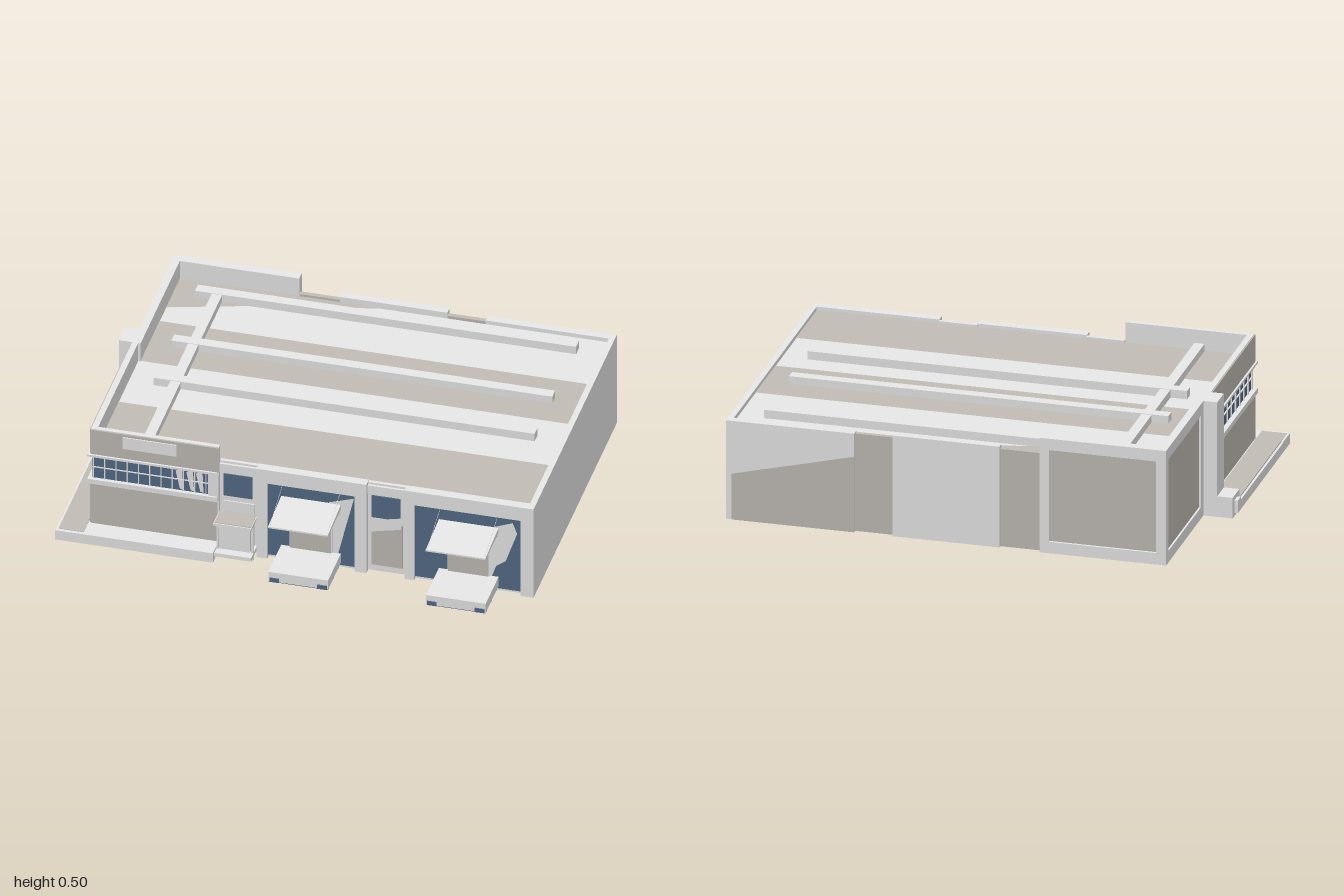
import * as THREE from 'three';

const mat = (name, color) => {
  const m = new THREE.MeshStandardMaterial({ color, side: THREE.DoubleSide });
  m.name = name;
  return m;
};

export function createModel() {
  const light = mat('lightConcrete', 0xe8e8e8);
  const beige = mat('beigePanel', 0xc0bbb5);
  const blue = mat('blueGlazing', 0x536a87);
  const root = new THREE.Group();
  root.name = 'warehouse';

  // Box from its extents
  const box = (name, m, x0, x1, y0, y1, z0, z1, parent = root) => {
    const mesh = new THREE.Mesh(new THREE.BoxGeometry(x1 - x0, y1 - y0, z1 - z0), m);
    mesh.position.set((x0 + x1) / 2, (y0 + y1) / 2, (z0 + z1) / 2);
    mesh.name = name;
    parent.add(mesh);
    return mesh;
  };
  // Flat polygon facing +z
  const plate = (name, m, pts, z, parent = root) => {
    const shape = new THREE.Shape(pts.map(p => new THREE.Vector2(p[0], p[1])));
    const mesh = new THREE.Mesh(new THREE.ShapeGeometry(shape), m);
    mesh.position.z = z;
    mesh.name = name;
    parent.add(mesh);
    return mesh;
  };
  // Thin rod between two points
  const rod = (name, a, b, r, parent) => {
    const p = new THREE.Vector3(...a), q = new THREE.Vector3(...b);
    const mesh = new THREE.Mesh(new THREE.CylinderGeometry(r, r, p.distanceTo(q), 6), light);
    mesh.position.copy(p).add(q).multiplyScalar(0.5);
    mesh.quaternion.setFromUnitVectors(new THREE.Vector3(0, 1, 0), q.sub(p).normalize());
    mesh.name = name;
    parent.add(mesh);
  };

  // Roof slab with beige bands
  box('roof', light, -0.84, 0.97, 0.40, 0.412, -0.73, 0.53);
  const roofBands = [
    [[-0.84, -0.4], [0.965, -0.4], [0.965, -0.1], [-0.84, -0.1]],
    [[-0.84, 0.21], [0.965, 0.21], [0.965, 0.525], [-0.84, 0.525]],
    [[-0.84, -0.725], [0.05, -0.725], [-0.5, -0.6], [-0.84, -0.5]],
  ];
  for (const band of roofBands) {
    const b = plate('roofBand', beige, band.map(([x, z]) => [x, -z]), 0);
    b.rotation.x = -Math.PI / 2;
    b.position.y = 0.415;
  }
  // Roof ducts
  for (const z of [-0.625, -0.25, 0.03]) box('roofDuct', light, -0.735, 0.86, 0.412, 0.448, z - 0.023, z + 0.023);
  box('crossDuct', light, -0.665, -0.622, 0.412, 0.446, -0.625, 0.52);

  // Right wall
  box('rightWall', light, 0.965, 0.99, 0, 0.43, -0.755, 0.56);

  // Back wall: flush bays, recesses and the framed tall bay
  box('backBay', light, 0.45, 0.965, 0, 0.43, -0.755, -0.72);
  plate('backBayPanel', beige, [[0.45, 0], [0.965, 0], [0.965, 0.2], [0.45, 0.33]], -0.757);
  box('backBay', light, -0.16, 0.29, 0, 0.44, -0.755, -0.72);
  for (const [a, b] of [[0.29, 0.45], [-0.33, -0.16]]) box('backRecess', beige, a, b, 0, 0.425, -0.74, -0.72);
  box('backTallWall', light, -0.86, -0.33, 0, 0.5, -0.745, -0.72);
  box('backInset', beige, -0.82, -0.37, 0.05, 0.45, -0.75, -0.744);
  box('backFrameTop', light, -0.86, -0.33, 0.45, 0.5, -0.76, -0.744);
  box('backFrameBottom', light, -0.86, -0.33, 0, 0.05, -0.76, -0.744);
  for (const x of [-0.86, -0.37]) box('backFramePost', light, x, x + 0.04, 0, 0.5, -0.76, -0.744);

  // Left wall rear bay with framed panel
  box('leftRearWall', light, -0.85, -0.83, 0, 0.5, -0.745, -0.1);
  box('leftInset', beige, -0.854, -0.849, 0.05, 0.45, -0.71, -0.23);
  box('leftFrameTop', light, -0.862, -0.849, 0.45, 0.5, -0.76, -0.2);
  box('leftFrameBottom', light, -0.862, -0.849, 0, 0.05, -0.76, -0.2);
  for (const z of [-0.76, -0.24]) box('leftFramePost', light, -0.862, -0.849, 0, 0.5, z, z + 0.04);
  box('sideFin', light, -0.92, -0.85, 0, 0.5, -0.2, -0.1);
  box('sideBlock', light, -0.985, -0.92, 0, 0.09, -0.2, -0.1);
  box('sidePost', light, -1.0, -0.93, 0.015, 0.07, -0.175, -0.13);

  // Office corner: lower wall, ribbon windows, upper wall
  box('officeLowerFront', light, -0.865, -0.33, 0, 0.24, 0.53, 0.55);
  box('officeLowerLeft', light, -0.865, -0.84, 0, 0.24, -0.1, 0.55);
  box('officeFrontPanel', beige, -0.865, -0.335, 0.045, 0.235, 0.549, 0.555);
  box('officeLeftPanel', beige, -0.87, -0.864, 0.045, 0.235, -0.1, 0.55);
  box('officeUpperFront', light, -0.865, -0.33, 0.37, 0.5, 0.53, 0.55);
  box('officeUpperLeft', light, -0.865, -0.84, 0.37, 0.5, -0.1, 0.55);
  box('upperFrontPanel', beige, -0.865, -0.332, 0.38, 0.497, 0.549, 0.555);
  box('upperLeftPanel', beige, -0.87, -0.864, 0.38, 0.497, -0.1, 0.55);
  box('blankSign', light, -0.73, -0.505, 0.43, 0.485, 0.554, 0.56);
  box('windowEndPost', light, -0.375, -0.33, 0.24, 0.37, 0.53, 0.556);
  box('frontGlass', blue, -0.86, -0.375, 0.24, 0.375, 0.54, 0.546);
  box('leftGlass', blue, -0.856, -0.85, 0.24, 0.375, -0.1, 0.54);
  box('frontWindowBacking', light, -0.85, -0.375, 0.24, 0.375, 0.534, 0.54);
  box('leftWindowBacking', light, -0.85, -0.844, 0.24, 0.375, -0.1, 0.54);
  for (const [y, h] of [[0.24, 0.022], [0.37, 0.01]]) {
    box('frontSill', light, -0.878, -0.335, y, y + h, 0.543, 0.563);
    box('leftSill', light, -0.878, -0.855, y, y + h, -0.1, 0.563);
  }
  for (let i = 0; i <= 10; i++) {
    const x = -0.855 + i * 0.047;
    box('frontMullion', light, x - 0.002, x + 0.002, 0.25, 0.372, 0.545, 0.55);
    const z = -0.08 + i * 0.062;
    box('leftMullion', light, -0.862, -0.856, 0.25, 0.372, z - 0.002, z + 0.002);
  }
  box('frontTransom', light, -0.86, -0.375, 0.313, 0.317, 0.545, 0.55);
  box('leftTransom', light, -0.862, -0.856, 0.313, 0.317, -0.1, 0.545);
  for (const x of [-0.5, -0.455, -0.415]) {
    plate('windowBlind', light, [[x - 0.012, 0.355], [x + 0.006, 0.27], [x + 0.02, 0.265], [x + 0.016, 0.365]], 0.5475);
  }

  // Plinth around the office
  box('frontPlinth', light, -0.99, -0.33, 0, 0.045, 0.545, 0.645);
  box('leftPlinth', light, -0.99, -0.865, 0, 0.042, -0.1, 0.56);
  box('plinthTop', beige, -0.98, -0.875, 0.041, 0.047, -0.1, 0.63);

  // Recessed front bays
  const recess = (x0, x1, lower) => {
    const g = new THREE.Group();
    g.name = 'recessedBay';
    root.add(g);
    box('recessWall', light, x0, x1, 0, 0.425, 0.515, 0.53, g);
    box('recessWindow', blue, x0 + 0.015, x1 - 0.025, 0.26, 0.365, 0.529, 0.535, g);
    box('recessLower', lower, x0 + 0.015, x1 - 0.015, 0.03, 0.235, 0.529, 0.535, g);
    box('recessHeader', light, x0, x1, 0.375, 0.415, 0.529, 0.54, g);
  };
  recess(-0.33, -0.17, light);
  recess(0.29, 0.45, beige);
  plate('recessPatch', light, [[0.3, 0.19], [0.43, 0.22], [0.43, 0.275], [0.3, 0.245]], 0.537);

  // Entrance: low landing, porch body and its overhanging top
  box('landing', light, -0.33, -0.175, 0.018, 0.035, 0.53, 0.625);
  box('porchBody', light, -0.32, -0.19, 0.035, 0.175, 0.53, 0.588);
  for (const x of [-0.325, -0.18]) box('porchPost', light, x - 0.005, x + 0.005, 0, 0.18, 0.58, 0.59);
  box('porchTop', light, -0.332, -0.173, 0.172, 0.183, 0.53, 0.632);
  box('porchTopPanel', beige, -0.328, -0.177, 0.181, 0.186, 0.535, 0.627);

  // Loading bays: pier frame, blue surround, door, canopy and platform
  const dock = (x0, x1, p0, p1, cx, patch) => {
    const g = new THREE.Group();
    g.name = 'loadingBay';
    root.add(g);
    box('pier', light, x0, p0, 0, 0.43, 0.52, 0.56, g);
    box('pier', light, p1, x1, 0, 0.43, 0.52, 0.56, g);
    box('lintel', light, p0, p1, 0.365, 0.43, 0.52, 0.56, g);
    box('bayWall', light, p0, p1, 0, 0.365, 0.52, 0.54, g);
    box('baySurround', blue, p0, p1, 0.012, 0.365, 0.539, 0.546, g);
    plate('bayPatch', light, patch, 0.5475, g);
    box('doorFrame', light, cx - 0.088, cx + 0.09, 0.05, 0.265, 0.544, 0.552, g);
    box('dockDoor', beige, cx - 0.085, cx + 0.085, 0.06, 0.222, 0.55, 0.556, g);
    // Canopy tapers to a thin outer edge
    const canopy = box('canopy', light, cx - 0.125, cx + 0.125, 0.284, 0.306, 0.545, 0.755, g);
    const pos = canopy.geometry.attributes.position;
    for (let i = 0; i < pos.count; i++) if (pos.getZ(i) > 0 && pos.getY(i) > 0) pos.setY(i, -0.004);
    canopy.geometry.computeVertexNormals();
    box('canopyBracket', light, cx - 0.12, cx + 0.12, 0.262, 0.278, 0.545, 0.56, g);
    for (const s of [-1, 1]) {
      rod('canopyCable', [cx + s * 0.12, 0.29, 0.75], [cx + s * 0.12, 0.355, 0.55], 0.0008, g);
      box('bumper', blue, cx + s * 0.1 - 0.02, cx + s * 0.1 + 0.02, 0.023, 0.042, 0.749, 0.754, g);
    }
    box('platform', light, cx - 0.125, cx + 0.125, 0.024, 0.068, 0.54, 0.75, g);
    box('platformUnderside', blue, cx - 0.124, cx + 0.124, 0.021, 0.025, 0.545, 0.749, g);
  };
  dock(-0.17, 0.29, -0.125, 0.24, 0.055,
    [[0.235, 0.345], [0.13, 0.31], [0.13, 0.03], [0.16, 0.03], [0.165, 0.05], [0.2, 0.2]]);
  dock(0.45, 0.965, 0.49, 0.935, 0.715,
    [[0.9, 0.34], [0.8, 0.3], [0.78, 0.03], [0.8, 0.03], [0.83, 0.12], [0.87, 0.15], [0.918, 0.29]]);

  return root;
}
